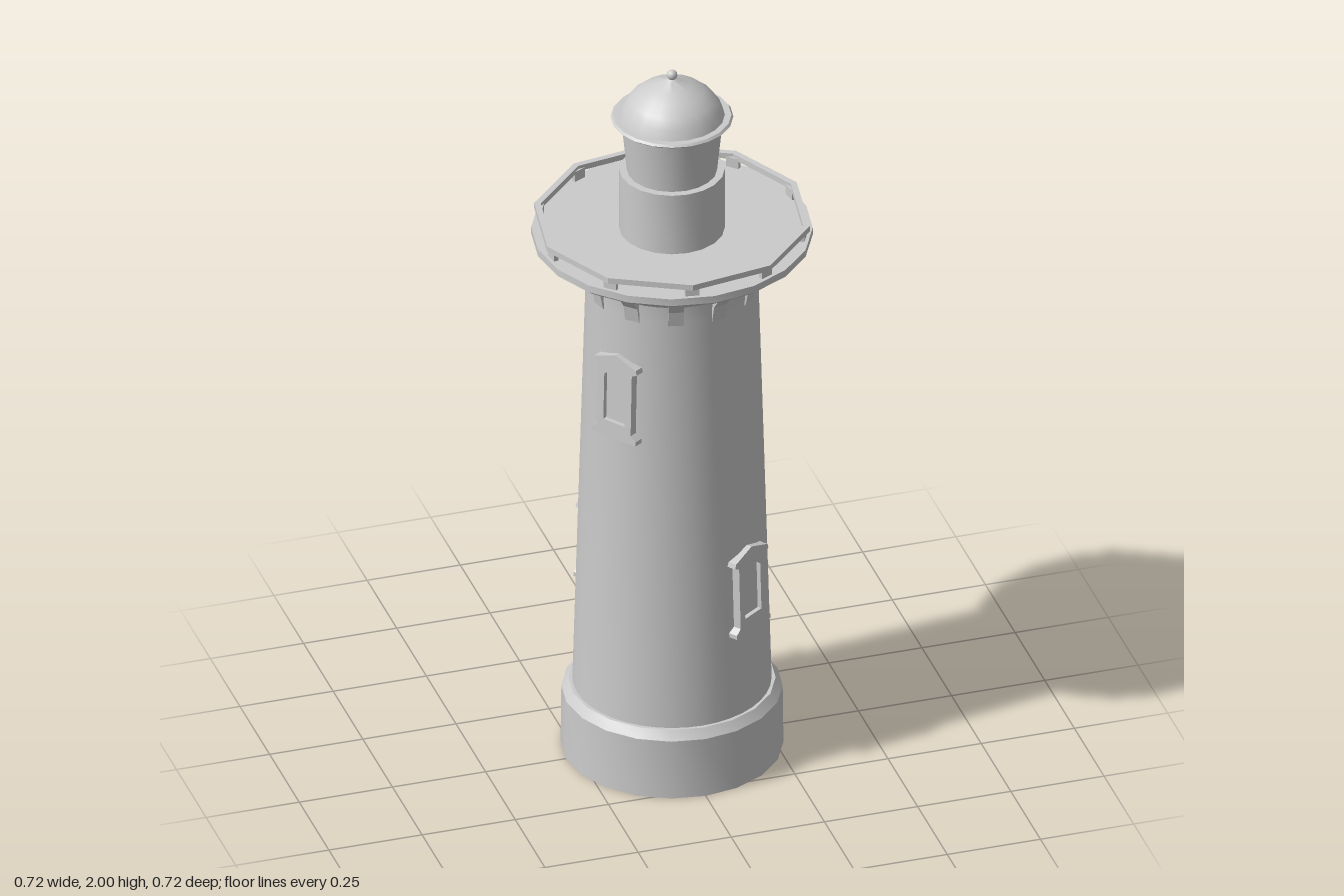
import * as THREE from 'three';
import { toCreasedNormals } from 'three/addons/utils/BufferGeometryUtils.js';

const material = new THREE.MeshStandardMaterial({ color: 0xcccccc });
const rad = THREE.MathUtils.degToRad;
const points = (list) => list.map(([x, y]) => new THREE.Vector2(x, y));

function addMesh(parent, name, geometry) {
  const mesh = new THREE.Mesh(geometry, material);
  mesh.name = name;
  parent.add(mesh);
  return mesh;
}

// Turned part from a bottom-to-top profile of [radius, height]
function turned(parent, name, profile, sides = 20) {
  const geometry = new THREE.LatheGeometry(points(profile), sides);
  return addMesh(parent, name, toCreasedNormals(geometry, 0.5));
}

// Mirrors the right half of an outline (listed bottom to top) to the left
function symmetric(half) {
  const left = half.filter(([x]) => x > 0).reverse().map(([x, y]) => [-x, y]);
  return points([...half, ...left]);
}

const extrude = (shape, depth) =>
  new THREE.ExtrudeGeometry(shape, { depth, bevelEnabled: false });

// Pointed window with a projecting sill and hood
function makeWindow(angle, y) {
  const holder = new THREE.Group();
  holder.name = 'window';
  const frame = new THREE.Shape(symmetric([
    [0.07, -0.12], [0.07, -0.108], [0.054, -0.095], [0.054, 0.08], [0.07, 0.088], [0.066, 0.1], [0, 0.123],
  ]));
  const opening = symmetric([[0.034, -0.075], [0.034, 0.058], [0, 0.085]]);
  frame.holes.push(new THREE.Path(opening));
  addMesh(holder, 'windowFrame', extrude(frame, 0.045)).position.z = -0.03;
  addMesh(holder, 'windowPane', extrude(new THREE.Shape(opening), 0.03)).position.z = -0.027;

  // Sit on the tapering wall and lean back with it
  const radius = 0.255 - (y - 0.19) * 0.029;
  holder.position.set(Math.sin(angle) * radius, y, Math.cos(angle) * radius);
  holder.rotation.set(-0.029, angle, 0, 'YXZ');
  return holder;
}

export function createModel() {
  const model = new THREE.Group();
  model.name = 'lighthouse';

  // Plinth and tapering tower, flaring out below the gallery
  turned(model, 'plinth', [[0, 0], [0.285, 0], [0.283, 0.168], [0.265, 0.192], [0, 0.192]]);
  turned(model, 'tower', [
    [0.255, 0.185], [0.221, 1.38], [0.224, 1.425], [0.25, 1.465], [0.31, 1.505],
  ], 40);

  // Windows: a low pair and a high pair, a quarter turn apart
  for (const [degrees, y] of [[35, 0.55], [215, 0.55], [125, 1.14], [305, 1.14]]) {
    model.add(makeWindow(rad(degrees), y));
  }

  // Curved brackets under the gallery
  const bracket = extrude(new THREE.Shape(points([
    [0.19, 1.37], [0.222, 1.37], [0.231, 1.415], [0.265, 1.462], [0.34, 1.505], [0.19, 1.505],
  ])), 0.04).translate(0, 0, -0.02);
  for (let i = 0; i < 12; i++) {
    addMesh(model, 'bracket', bracket).rotation.y = rad(15 + i * 30);
  }

  // Gallery deck
  turned(model, 'galleryDeck', [[0, 1.5], [0.345, 1.5], [0.36, 1.512], [0.36, 1.532], [0, 1.532]]);

  // Ten-sided railing with a short post at each corner
  turned(model, 'railing', [
    [0.34, 1.554], [0.357, 1.554], [0.357, 1.57], [0.34, 1.57], [0.34, 1.554],
  ], 10).rotation.y = rad(27);
  const post = new THREE.BoxGeometry(0.036, 0.032, 0.012).translate(0, 1.545, 0.34);
  for (let i = 0; i < 10; i++) {
    addMesh(model, 'railingPost', post).rotation.y = rad(27 + i * 36);
  }

  // Lantern room on its drum
  turned(model, 'lanternBase', [[0.135, 1.525], [0.135, 1.706], [0, 1.706]]);
  turned(model, 'lanternRoom', [[0.115, 1.7], [0.131, 1.86]]);

  // Brim, dome and finial
  turned(model, 'roofBrim', [[0.12, 1.855], [0.148, 1.855], [0.157, 1.862], [0.152, 1.868], [0.13, 1.868]]);
  turned(model, 'dome', [
    [0.136, 1.866], [0.126, 1.893], [0.108, 1.918], [0.082, 1.94], [0.05, 1.957], [0.02, 1.969], [0.008, 1.977], [0, 1.977],
  ]);
  addMesh(model, 'finial', new THREE.SphereGeometry(0.014, 12, 8)).position.y = 1.986;

  return model;
}
